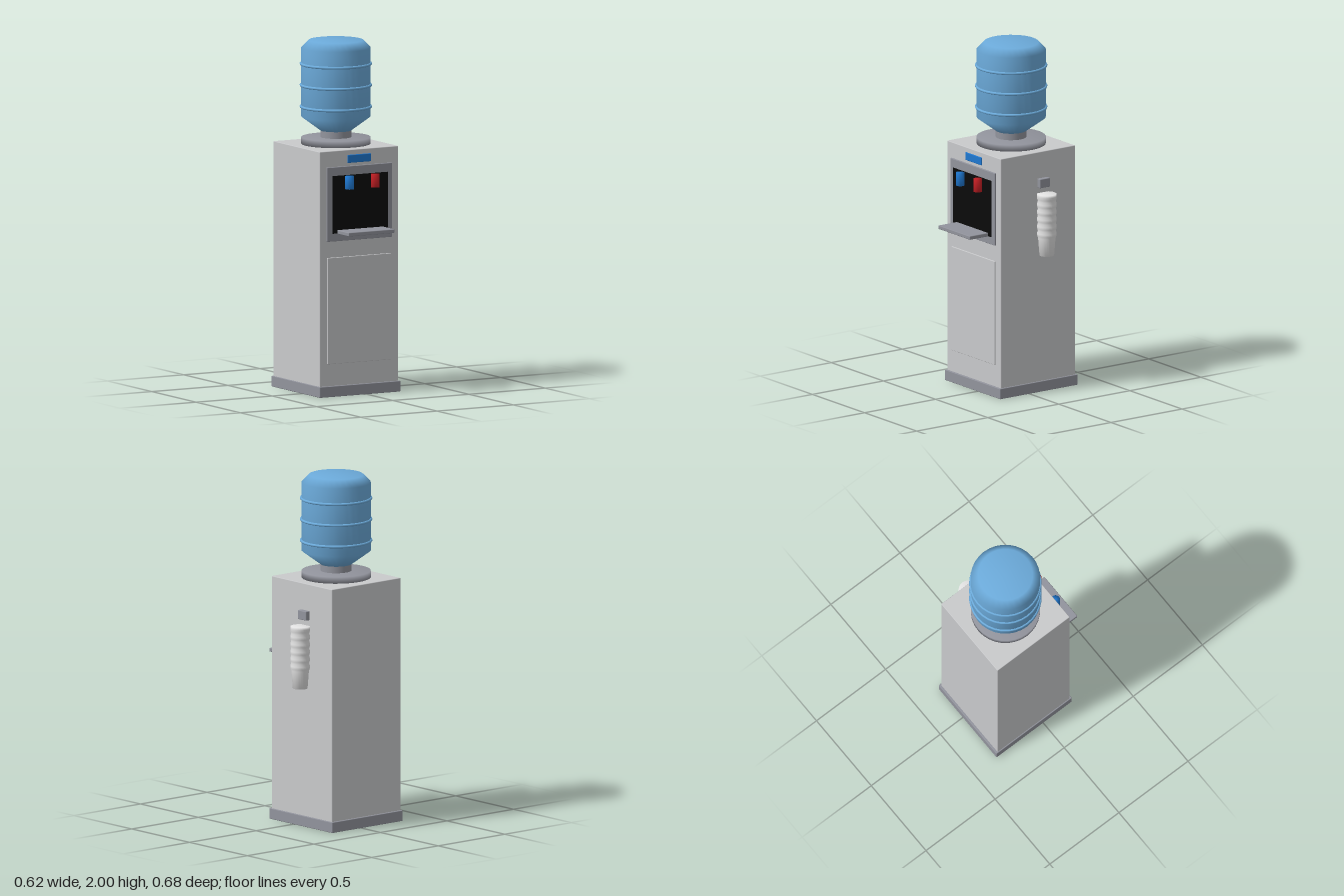
import * as THREE from 'three';
import { RoundedBoxGeometry } from 'three/addons/geometries/RoundedBoxGeometry.js';

export function createModel() {
  const model = new THREE.Group();
  model.name = 'waterCooler';

  const mat = (name, color) => {
    const m = new THREE.MeshStandardMaterial({ color });
    m.name = name;
    return m;
  };
  const lightGrey = mat('lightGrey', 0xc9cacc);
  const midGrey = mat('midGrey', 0x92949d);
  const black = mat('black', 0x0a0a0a);
  const blue = mat('blue', 0x1f78d1);
  const red = mat('red', 0xc41f24);
  const bottleBlue = mat('bottleBlue', 0x6cabdb);
  const white = mat('white', 0xe4e4e4);

  const add = (name, geometry, material, x = 0, y = 0, z = 0) => {
    const mesh = new THREE.Mesh(geometry, material);
    mesh.name = name;
    mesh.position.set(x, y, z);
    model.add(mesh);
    return mesh;
  };
  // Softly bevelled box given by its extents on each axis
  const box = (name, material, [x0, x1], [y0, y1], [z0, z1], bevel = 0.004) =>
    add(name, new RoundedBoxGeometry(x1 - x0, y1 - y0, z1 - z0, 1, bevel), material,
      (x0 + x1) / 2, (y0 + y1) / 2, (z0 + z1) / 2);
  // Turned part from [radius, height] pairs, bottom to top
  const turned = (name, material, profile, x, z, sides = 32) =>
    add(name, new THREE.LatheGeometry(profile.map(([r, y]) => new THREE.Vector2(r, y)), sides),
      material, x, 0, z);

  const cx = -0.045, cz = -0.065;

  // Cabinet
  box('base', midGrey, [-0.309, 0.221], [0, 0.062], [-0.338, 0.208]);
  box('cabinet', lightGrey, [-0.303, 0.213], [0.05, 1.407], [-0.326, 0.197]);
  box('door', lightGrey, [-0.255, 0.162], [0.188, 0.797], [0.187, 0.204], 0.003);

  // Dispensing bay
  box('bayFrame', midGrey, [-0.26, 0.168], [0.89, 1.315], [0.187, 0.207], 0.003);
  add('bayBack', new THREE.BoxGeometry(0.362, 0.33, 0.006), black, cx, 1.1, 0.207);
  box('label', blue, [-0.122, 0.032], [1.332, 1.378], [0.19, 0.203], 0.004);
  box('dripTray', midGrey, [-0.195, 0.107], [0.932, 0.954], [0.2, 0.338]);
  const tap = [[0, 1.187], [0.025, 1.187], [0.025, 1.262], [0, 1.262]];
  turned('coldTap', blue, tap, -0.128, 0.233, 24);
  turned('hotTap', red, tap, 0.04, 0.233, 24);

  // Bottle seat and bottle
  turned('collar', midGrey, [[0, 1.4], [0.197, 1.405], [0.197, 1.445], [0, 1.445]], cx, cz);
  turned('neck', midGrey, [[0.088, 1.44], [0.088, 1.49]], cx, cz);
  turned('bottle', bottleBlue,
    [[0, 1.48], [0.088, 1.483], [0.197, 1.563], [0.197, 1.957], [0.155, 2], [0, 2]], cx, cz);
  for (const y of [1.62, 1.743, 1.865]) {
    const ring = add('bottleRing', new THREE.TorusGeometry(0.198, 0.008, 8, 32), bottleBlue, cx, y, cz);
    ring.rotation.x = Math.PI / 2;
  }

  // Stack of cups on the side: one tapered cup with the rims of others above it
  box('cupBracket', midGrey, [0.207, 0.24], [1.2, 1.253], [-0.132, -0.06]);
  const cups = [[0, 0.807], [0.042, 0.807], [0.05, 0.91]];
  const pitch = 0.043;
  for (let i = 0; i < 6; i++) {
    const y = 0.91 + i * pitch;
    cups.push([0.055, y + pitch * 0.3], [0.056, y + pitch * 0.65], [0.051, y + pitch]);
  }
  cups[cups.length - 1] = [0.055, 1.167];
  cups.push([0, 1.167]);
  turned('cupStack', white, cups, 0.253, -0.097, 24);

  return model;
}
